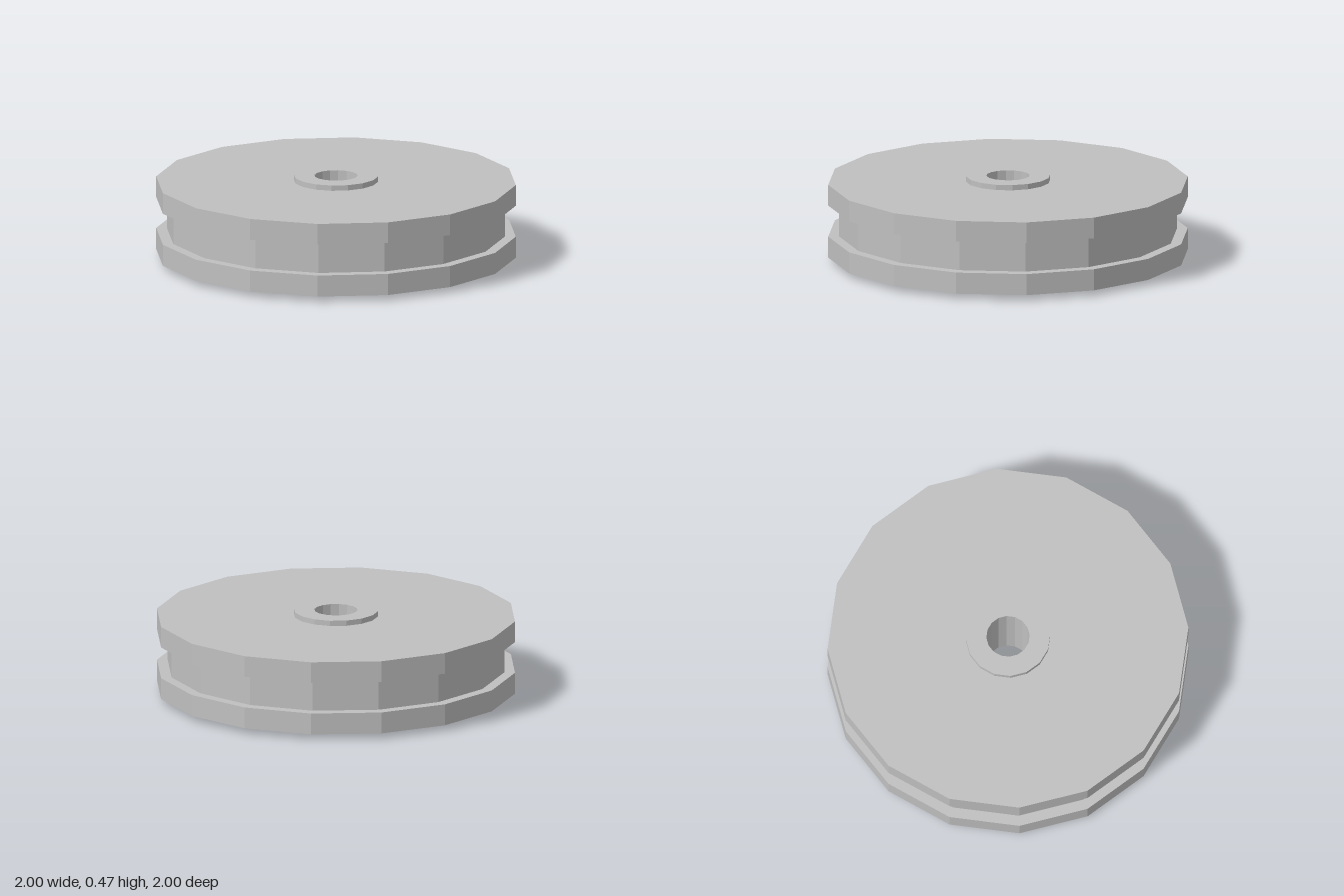
import * as THREE from 'three';

const SIDES = 16;

// Faceted ring turned from a [radius, height] profile, listed counter-clockwise
function turned(name, profile, material) {
  const points = profile.map(([r, y]) => new THREE.Vector2(r, y));
  const geometry = new THREE.LatheGeometry(points, SIDES).toNonIndexed();
  geometry.computeVertexNormals();
  const mesh = new THREE.Mesh(geometry, material);
  mesh.name = name;
  return mesh;
}

export function createModel() {
  const grey = new THREE.MeshStandardMaterial({ color: 0xc0c0c0 });
  grey.name = 'plain grey';

  const rim = 1, groove = 0.94, hub = 0.234, bore = 0.12;
  const height = 0.474, bottom = 0.03, top = 0.444;
  const grooveBottom = 0.15, grooveTop = 0.326;

  const model = new THREE.Group();
  model.name = 'pulleyWheel';

  // Wheel body with a square groove around its edge
  model.add(turned('groovedWheel', [
    [hub, bottom], [rim, bottom], [rim, grooveBottom], [groove, grooveBottom],
    [groove, grooveTop], [rim, grooveTop], [rim, top], [hub, top],
  ], grey));

  // Hub sleeve standing proud of both faces, with the axle hole through it
  model.add(turned('hubSleeve', [
    [bore, 0], [hub, 0], [hub, height], [bore, height], [bore, 0],
  ], grey));

  return model;
}
